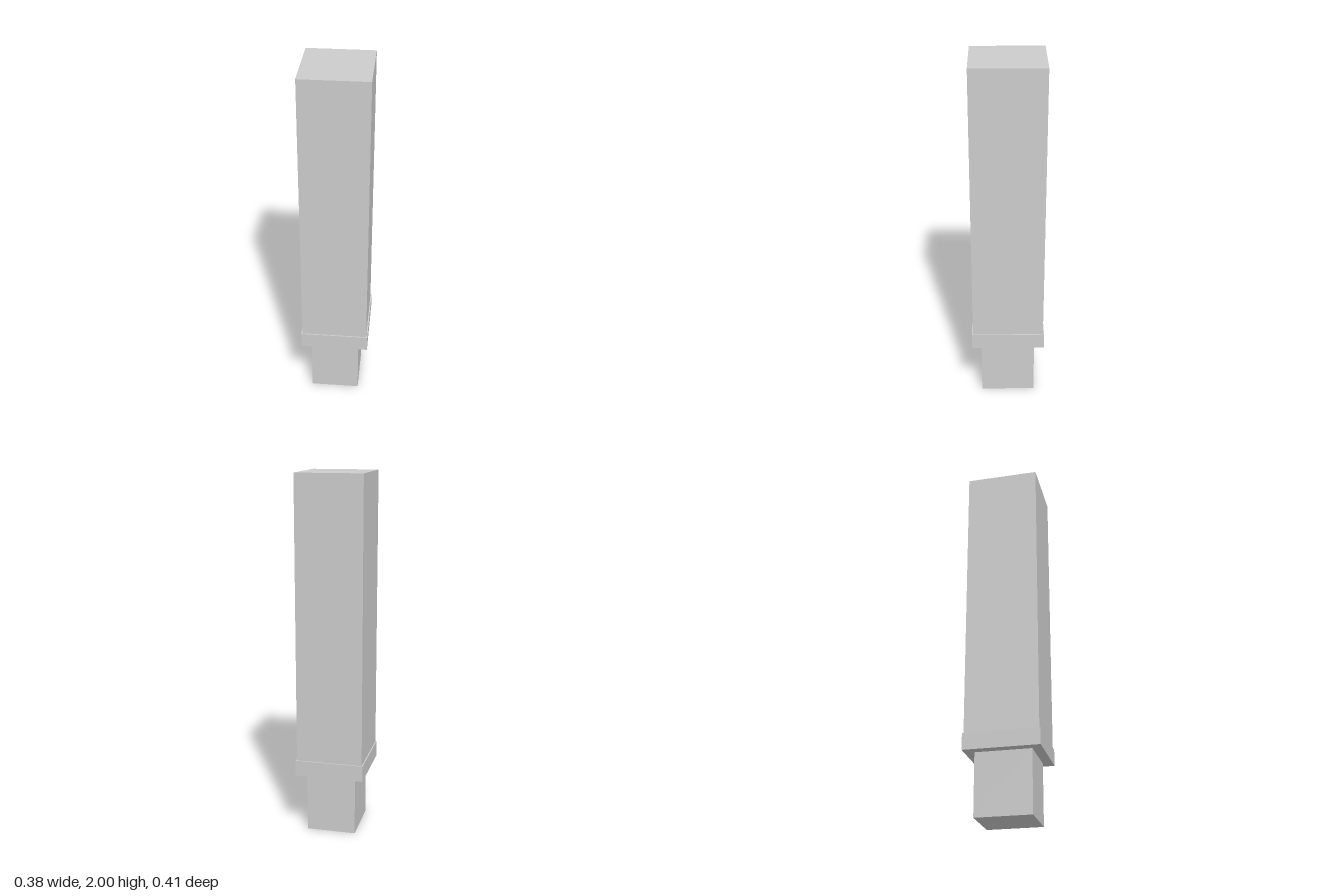
import * as THREE from 'three';

export function createModel() {
  const group = new THREE.Group();
  const material = new THREE.MeshStandardMaterial({ color: 0xcccccc, flatShading: true });

  // Upright block spanning y0..y1, centred on the vertical axis
  const addBlock = (name, width, depth, y0, y1) => {
    const mesh = new THREE.Mesh(new THREE.BoxGeometry(width, y1 - y0, depth), material);
    mesh.name = name;
    mesh.position.y = (y0 + y1) / 2;
    group.add(mesh);
  };

  addBlock('basePlug', 0.273, 0.305, 0, 0.34);
  addBlock('collar', 0.38, 0.412, 0.34, 0.43);
  addBlock('shaft', 0.367, 0.399, 0.43, 2);

  return group;
}
